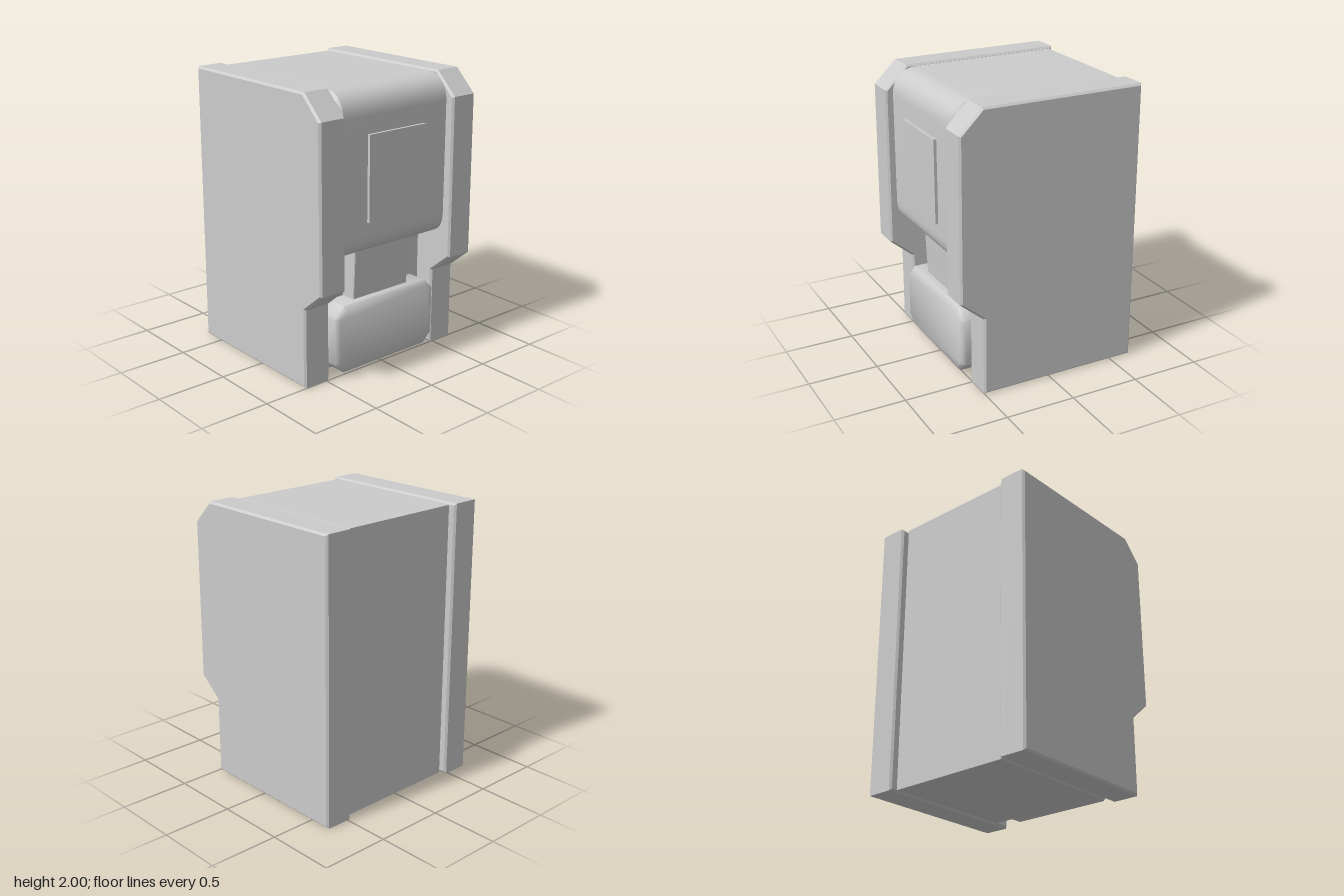
import * as THREE from 'three';
import { toCreasedNormals } from 'three/addons/utils/BufferGeometryUtils.js';

const material = new THREE.MeshStandardMaterial({ color: 0xcccccc });

function polygon(points) {
  return new THREE.Shape(points.map(([x, y]) => new THREE.Vector2(x, y)));
}

// Extrudes a shape to an exact overall depth, centred on z, with bevelled rims inside the outline
function slab(shape, depth, bevel, crease = 0.5) {
  const geometry = new THREE.ExtrudeGeometry(shape, {
    depth: depth - 2 * bevel, bevelEnabled: true, bevelThickness: bevel,
    bevelSize: bevel, bevelOffset: -bevel, bevelSegments: 1, curveSegments: 10,
  });
  geometry.translate(0, 0, -(depth - 2 * bevel) / 2);
  return toCreasedNormals(geometry, crease);
}

// Same, but the shape is a side profile (z, y) swept along x
function sideSlab(shape, width, bevel) {
  return slab(shape, width, bevel).rotateY(-Math.PI / 2);
}

export function createModel() {
  const group = new THREE.Group();
  const add = (name, geometry, x = 0, y = 0, z = 0) => {
    const mesh = new THREE.Mesh(geometry, material);
    mesh.name = name;
    mesh.position.set(x, y, z);
    group.add(mesh);
  };

  // Side panels with chamfered top front and stepped-back lower front
  const panel = polygon([
    [-0.665, 0], [0.5, 0], [0.5, 0.56], [0.667, 0.7], [0.662, 1.84], [0.5, 2], [-0.665, 2],
  ]);
  for (const [name, side] of [['leftPanel', 1], ['rightPanel', -1]]) {
    add(name, sideSlab(panel, 0.21, 0.014), side * 0.577);
  }

  // Central body: rounded head overhanging a recessed front wall
  const body = new THREE.Shape();
  body.moveTo(-0.625, 0.004);
  body.lineTo(0.36, 0.004);
  body.lineTo(0.375, 0.03);
  body.lineTo(0.375, 0.76);
  body.quadraticCurveTo(0.375, 0.86, 0.46, 0.865);
  body.bezierCurveTo(0.56, 0.87, 0.615, 0.92, 0.615, 1.02);
  body.lineTo(0.615, 1.81);
  body.bezierCurveTo(0.615, 1.92, 0.55, 1.99, 0.43, 1.99);
  body.lineTo(-0.625, 1.99);
  add('body', sideSlab(body, 0.95, 0.022));

  // Thin display plate on the head
  add('displayPlate', new THREE.BoxGeometry(0.495, 0.59, 0.04), 0, 1.397, 0.615);

  // Spout block under the head, leaning slightly forward at the top
  const spout = polygon([[0.34, 0.45], [0.478, 0.45], [0.5, 0.9], [0.34, 0.9]]);
  add('spout', sideSlab(spout, 0.495, 0.005));

  // Drip tray with cut corners and a bevelled front rim
  const w = 0.45, low = 0.035, high = 0.52, cut = 0.075;
  const tray = polygon([
    [-w + cut, low], [w - cut, low], [w, low + cut], [w, high - cut],
    [w - cut, high], [-w + cut, high], [-w, high - cut], [-w, low + cut],
  ]);
  add('dripTray', slab(tray, 0.205, 0.027, 0.9), 0, 0, 0.4525);

  return group;
}
